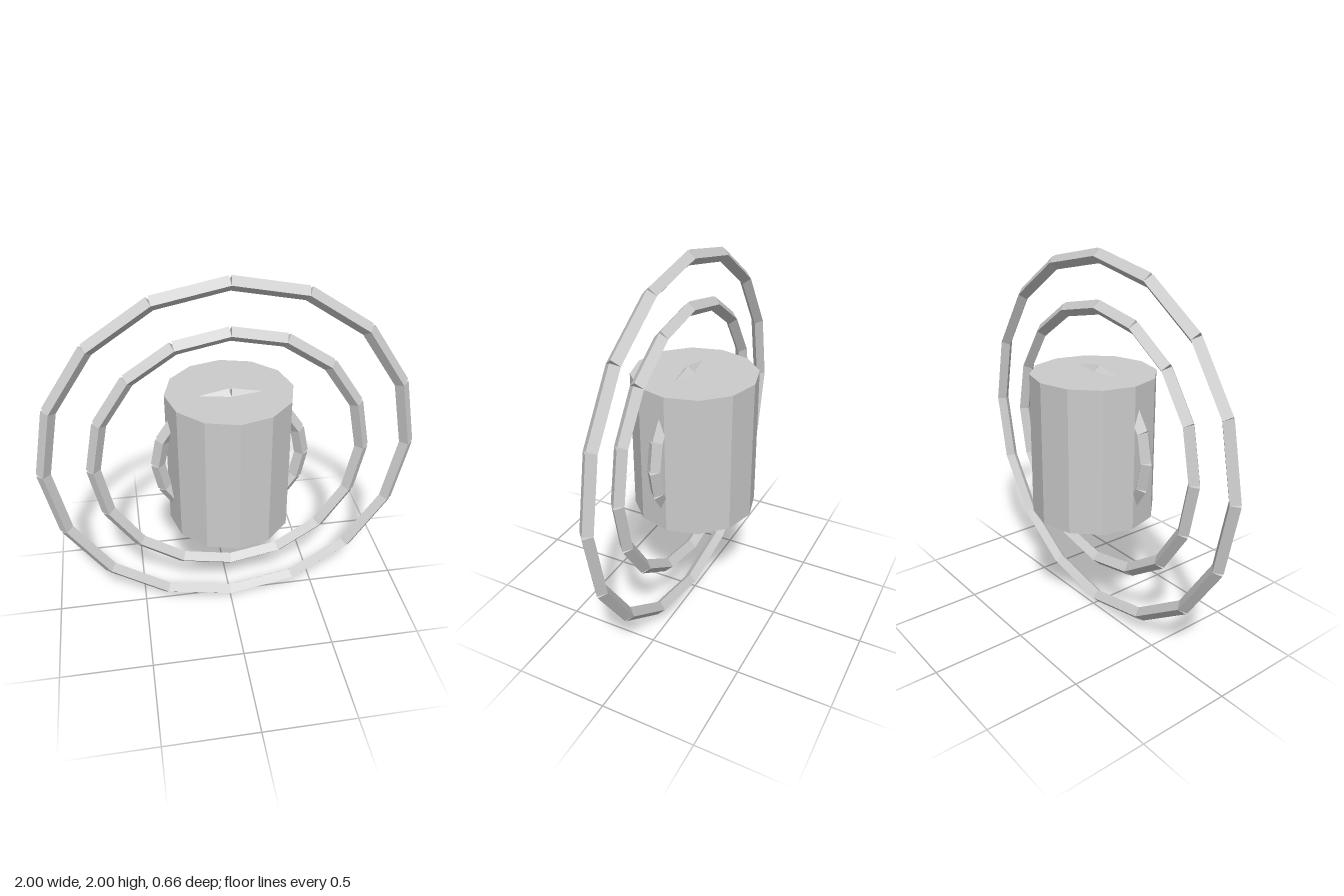
import * as THREE from 'three';

const SEGMENTS = 16;
const BAR_RADIUS = 0.037;
const CENTRE_Y = 1.0;
const RING_Z = 0.034;

const material = new THREE.MeshStandardMaterial({ color: 0xcccccc, flatShading: true });

// Ring of straight four-sided bars; each bar spans one chord, leaving notches at the joints
function createRing(name, radius) {
  const ring = new THREE.Group();
  ring.name = name;
  const half = Math.PI / SEGMENTS;
  const bar = new THREE.CylinderGeometry(BAR_RADIUS, BAR_RADIUS, 2 * radius * Math.sin(half), 4);
  for (let i = 0; i < SEGMENTS; i++) {
    const angle = (2 * i + 1) * half;
    const mesh = new THREE.Mesh(bar, material);
    mesh.name = 'ringBar';
    const mid = radius * Math.cos(half);
    mesh.position.set(mid * Math.cos(angle), mid * Math.sin(angle), 0);
    mesh.rotation.z = angle;
    ring.add(mesh);
  }
  ring.position.set(0, CENTRE_Y, RING_Z);
  return ring;
}

export function createModel() {
  const model = new THREE.Group();
  model.name = 'ringedDrum';

  // Twelve-sided central drum
  const drum = new THREE.Mesh(new THREE.CylinderGeometry(0.328, 0.328, 0.765, 12), material);
  drum.name = 'drum';
  drum.position.y = CENTRE_Y + 0.003;
  model.add(drum);

  // Three concentric upright rings, the smallest partly sunk in the drum
  model.add(createRing('outerRing', 0.963));
  model.add(createRing('middleRing', 0.712));
  model.add(createRing('innerRing', 0.38));

  return model;
}
